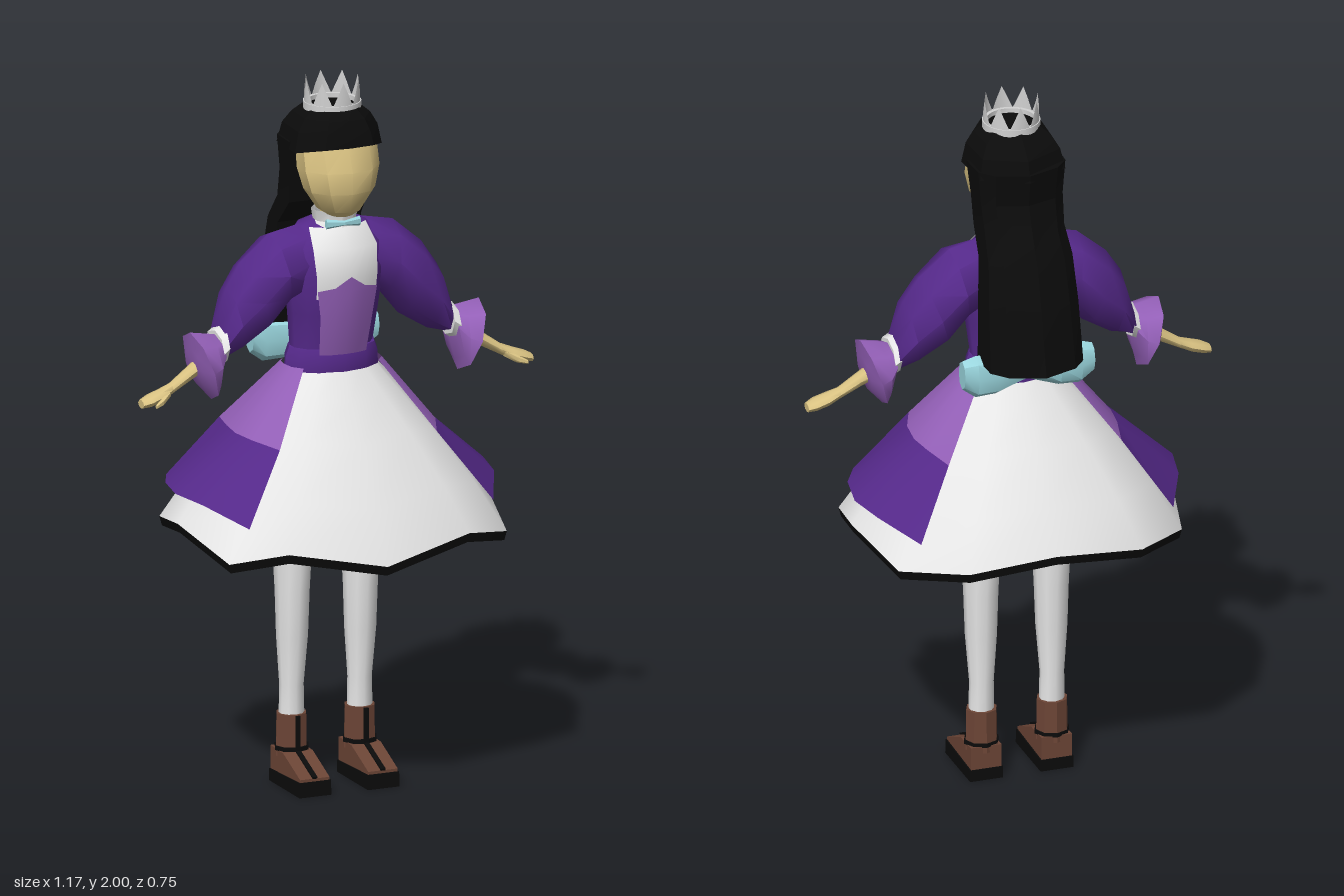
import * as THREE from 'three';
import { toCreasedNormals } from 'three/addons/utils/BufferGeometryUtils.js';

function mat(name, color, side = THREE.DoubleSide) {
  const m = new THREE.MeshStandardMaterial({ color, side });
  m.name = name;
  return m;
}

// Ellipse of points around the vertical axis, from half width and front/back depth.
function ring(y, rx, front, back, n = 10, cx = 0) {
  return Array.from({ length: n }, (_, i) => {
    const a = (i / n) * Math.PI * 2;
    return [cx + rx * Math.sin(a), y, (front + back) / 2 + ((front - back) / 2) * Math.cos(a)];
  });
}

// Ellipse of points across an arm that runs along +x; lean tips its top outwards.
function armRing(x, y, z, ry, rz, lean = 0, n = 8) {
  return Array.from({ length: n }, (_, i) => {
    const a = (i / n) * Math.PI * 2, c = Math.cos(a);
    return [x + lean * c, y + ry * c, z + rz * Math.sin(a)];
  });
}

// Skin over a list of cross-sections; side -1 mirrors it in x.
function loft(rings, { start = false, end = false, open = false, side = 1, crease = 0.7 } = {}) {
  if (side < 0) rings = rings.map(r => r.map(([x, y, z]) => [-x, y, z]).reverse());
  const n = rings[0].length, pos = rings.flat(2), idx = [];
  for (let j = 0; j < rings.length - 1; j++) {
    for (let i = 0; i < (open ? n - 1 : n); i++) {
      const a = j * n + i, b = j * n + (i + 1) % n;
      idx.push(a, b, b + n, a, b + n, a + n);
    }
  }
  const cap = (j, flip) => {
    const c = pos.length / 3;
    for (let k = 0; k < 3; k++) pos.push(rings[j].reduce((s, p) => s + p[k], 0) / n);
    for (let i = 0; i < n; i++) {
      const a = j * n + i, b = j * n + (i + 1) % n;
      idx.push(c, flip ? b : a, flip ? a : b);
    }
  };
  if (start) cap(0, true);
  if (end) cap(rings.length - 1, false);
  const g = new THREE.BufferGeometry();
  g.setAttribute('position', new THREE.Float32BufferAttribute(pos, 3));
  g.setIndex(idx);
  return toCreasedNormals(g, crease);
}

// Side outline given as [z, y] points, extruded across x.
function slab(points, width) {
  const shape = new THREE.Shape(points.map(p => new THREE.Vector2(...p)));
  const g = new THREE.ExtrudeGeometry(shape, { depth: width, bevelEnabled: false });
  return g.rotateY(-Math.PI / 2).translate(width / 2, 0, 0);
}

export function createModel() {
  const white = mat('white cloth', 0xe9e9e9), black = mat('black', 0x0b0b0b);
  const purple = mat('dark purple', 0x55298a), lilac = mat('light purple', 0x9460b8);
  const skin = mat('skin', 0xd9c282, THREE.FrontSide), brown = mat('brown leather', 0x6c4536, THREE.FrontSide);
  const blue = mat('light blue', 0x9ad6de), silver = mat('silver', 0xd2d2d2);
  const model = new THREE.Group();
  const add = (name, geo, material, x = 0, y = 0, z = 0) => {
    const m = new THREE.Mesh(geo, material);
    m.name = name;
    m.position.set(x, y, z);
    model.add(m);
  };

  // Skirt: twelve hem corners of uneven height, drawn in to the waist
  const half = [[0, 0.705, 0.372], [0.27, 0.755, 0.315], [0.415, 0.725, 0.24], [0.462, 0.785, 0],
    [0.41, 0.74, -0.238], [0.25, 0.76, -0.366], [0, 0.78, -0.375]];
  const hem = [...half, ...half.slice(1, 6).reverse().map(([x, y, z]) => [-x, y, z])];
  const waist = ring(1.2, 0.12, 0.075, -0.085, 12);
  const skirtRow = t => hem.map((h, i) => waist[i].map((w, k) => {
    const v = w + (h[k] - w) * t;
    return k === 1 ? v : v * (1 + 0.22 * t * (1 - t));
  }));
  const hemLow = hem.map(([x, y, z]) => [x * 0.985, y - 0.026, z * 0.985]);
  add('skirt', loft([1, 0.72, 0.4, 0.18, 0].map(skirtRow), { crease: 0.8 }), white);
  add('skirtHem', loft([hemLow, hem]), black);
  add('skirtUnderside', loft([hemLow.map(([x, y, z]) => [x * 0.99, y + 0.004, z * 0.99]),
    hemLow.map(([x, , z]) => [x * 0.4, 0.725, z * 0.4])].reverse(), { start: true, crease: 1 }), white);

  // Bodice
  const torso = [[1.2, 0.125, 0.068, -0.085], [1.25, 0.12, 0.07, -0.085], [1.35, 0.13, 0.1, -0.095],
    [1.46, 0.145, 0.115, -0.105], [1.54, 0.14, 0.105, -0.1], [1.59, 0.1, 0.065, -0.08], [1.61, 0.05, 0.035, -0.045]];
  add('jacketBody', loft(torso.map(r => ring(...r, 14)), { start: true, end: true, crease: 1 }), purple);
  const frontZ = (x, y) => {
    let k = 0;
    while (k < torso.length - 2 && y > torso[k + 1][0]) k++;
    const t = (y - torso[k][0]) / (torso[k + 1][0] - torso[k][0]);
    const [rx, f, b] = [1, 2, 3].map(c => torso[k][c] + (torso[k + 1][c] - torso[k][c]) * t);
    return (f + b) / 2 + ((f - b) / 2) * Math.sqrt(Math.max(0, 1 - (x / rx) ** 2));
  };
  const columns = [-1, -0.5, 0, 0.5, 1];
  const panel = (rows, lift) => loft(rows.map(([w, ys]) =>
    columns.map((c, i) => [c * w, ys[i] ?? ys[0], frontZ(c * w, ys[i] ?? ys[0]) + lift])), { open: true, crease: 1 });
  add('blouseFront', panel([[0.088, [1.4]], [0.09, [1.46]], [0.095, [1.54]], [0.085, [1.592]]], 0.01), white);
  add('bodiceFront', panel([[0.07, [1.235]], [0.078, [1.35]], [0.088, [1.42]],
    [0.089, [1.425, 1.435, 1.465, 1.435, 1.425]]], 0.016), lilac);
  add('belt', loft([ring(1.185, 0.138, 0.085, -0.1, 12), ring(1.22, 0.136, 0.088, -0.1, 12),
    ring(1.248, 0.126, 0.08, -0.092, 12)], { start: true, end: true }), purple);

  // Bow at the back of the waist
  for (const s of [1, -1]) {
    add('backBowLoop', loft([armRing(0, 1.25, -0.125, 0.04, 0.03), armRing(0.09, 1.238, -0.13, 0.058, 0.036),
      armRing(0.15, 1.24, -0.132, 0.062, 0.036), armRing(0.188, 1.248, -0.13, 0.042, 0.028)],
    { start: true, end: true, side: s }), blue);
  }

  // Neck, collar and ribbon
  add('neck', new THREE.CylinderGeometry(0.04, 0.045, 0.12, 8), skin, 0, 1.62, 0.015);
  add('collar', loft([ring(1.585, 0.075, 0.075, -0.055), ring(1.605, 0.06, 0.068, -0.04),
    ring(1.637, 0.067, 0.076, -0.04)]), white);
  for (const s of [1, -1]) {
    add('ribbonLoop', loft([armRing(0, 1.605, 0.08, 0.007, 0.006, 0, 6), armRing(0.05, 1.605, 0.072, 0.014, 0.009, 0, 6)],
      { start: true, end: true, side: s }), blue);
  }

  // Head
  add('face', loft([ring(1.625, 0.035, 0.09, 0.0), ring(1.643, 0.062, 0.115, -0.02), ring(1.7, 0.1, 0.14, -0.045),
    ring(1.76, 0.116, 0.139, -0.06), ring(1.84, 0.115, 0.105, -0.06)], { start: true, end: true, crease: 0.6 }), skin);

  // Hair
  const capRing = (y, w, f, b, sideDrop = 0) => {
    const right = [[w * 0.55, y, f], [w, y - sideDrop, f * 0.35], [w * 0.95, y - sideDrop, b * 0.6]];
    return [[0, y, f + 0.006], ...right, [0, y - sideDrop, b], ...right.reverse().map(([x, h, z]) => [-x, h, z])];
  };
  add('hairCap', loft([capRing(1.828, 0.13, 0.119, -0.158, 0.02), capRing(1.865, 0.118, 0.112, -0.14),
    capRing(1.9, 0.098, 0.098, -0.105), capRing(1.922, 0.072, 0.08, -0.08)], { start: true, end: true, crease: 0.3 }), black);
  const lock = (y, w, front, back) => [[0, y, front], [w, y, front], [w * 0.97, y, back * 0.55 + front * 0.45],
    [w * 0.7, y, back * 0.8 + front * 0.2], [0, y, back], [-w * 0.7, y, back * 0.8 + front * 0.2],
    [-w * 0.97, y, back * 0.55 + front * 0.45], [-w, y, front]];
  add('longHair', loft([lock(1.28, 0.138, -0.115, -0.29), lock(1.45, 0.133, -0.105, -0.25), lock(1.58, 0.125, -0.085, -0.218),
    lock(1.65, 0.118, -0.025, -0.18), lock(1.735, 0.122, -0.015, -0.145), lock(1.83, 0.13, 0.0, -0.158)],
  { start: true, end: true, crease: 0.4 }), black);

  // Crown: a thick flat band carrying a zigzag of eight thin points
  const round = (r, y) => ring(y, r, r, -r, 32);
  const zigzag = Array.from({ length: 32 }, (_, i) => {
    const a = (i / 32) * Math.PI * 2, rise = Math.abs((i % 4) - 2) / 2;
    return [0.077 * Math.sin(a), 1.933 + 0.067 * rise, 0.077 * Math.cos(a)];
  });
  add('crownBand', loft([round(0.067, 1.915), round(0.08, 1.915), round(0.08, 1.935),
    round(0.067, 1.935), round(0.067, 1.915)]), silver);
  add('crownPoints', loft([round(0.077, 1.93), zigzag]), silver);

  for (const s of [1, -1]) {
    const both = { start: true, end: true, side: s, crease: 0.9 };

    // Sleeve, cuff and bell
    add('sleeve', loft([armRing(0.08, 1.5, -0.005, 0.095, 0.075, 0.01), armRing(0.165, 1.475, -0.01, 0.1, 0.105, 0.02),
      armRing(0.235, 1.405, -0.01, 0.098, 0.098, 0.035), armRing(0.3, 1.345, -0.005, 0.09, 0.082, 0.015),
      armRing(0.342, 1.285, 0, 0.045, 0.06)], both), purple);
    add('cuff', loft([armRing(0.336, 1.285, 0.005, 0.052, 0.066), armRing(0.355, 1.272, 0.008, 0.052, 0.066)], both), white);
    add('bellSleeve', loft([armRing(0.348, 1.264, 0.008, 0.047, 0.066), armRing(0.37, 1.24, 0.012, 0.078, 0.088, 0.008),
      armRing(0.4, 1.23, 0.015, 0.098, 0.098, 0.032), armRing(0.42, 1.23, 0.015, 0.05, 0.055, 0.008)], both), lilac);

    // Forearm and hand
    add('hand', loft([armRing(0.39, 1.24, 0.01, 0.026, 0.026), armRing(0.435, 1.213, 0.015, 0.021, 0.022),
      armRing(0.492, 1.178, 0.02, 0.016, 0.018), armRing(0.525, 1.163, 0.024, 0.018, 0.026),
      armRing(0.56, 1.152, 0.026, 0.017, 0.028), armRing(0.583, 1.145, 0.026, 0.012, 0.02)], both), skin);
    add('thumb', loft([armRing(0.5, 1.168, 0.03, 0.011, 0.012, 0, 6), armRing(0.53, 1.152, 0.052, 0.011, 0.011, 0, 6),
      armRing(0.555, 1.144, 0.066, 0.006, 0.006, 0, 6)], both), skin);

    // Two-tone side panel lying over the skirt
    const rows = [
      [[0.365, 0.825, 0.262], [0.435, 0.862, 0.11], [0.46, 0.865, -0.02], [0.435, 0.862, -0.14], [0.365, 0.838, -0.295]],
      [[0.235, 1.012, 0.175], [0.275, 1.02, 0.075], [0.285, 1.02, -0.01], [0.275, 1.02, -0.09], [0.25, 1.015, -0.195]],
      [[0.112, 1.2, 0.06], [0.135, 1.2, 0.03], [0.14, 1.2, -0.01], [0.135, 1.2, -0.04], [0.115, 1.2, -0.07]]];
    add('sidePanelLower', loft(rows.slice(0, 2), { open: true, side: s }), purple);
    add('sidePanelUpper', loft(rows.slice(1), { open: true, side: s }), lilac);

    // Stockinged leg
    const x = 0.102 * s;
    add('leg', loft([ring(0.18, 0.036, -0.01, -0.077, 10, x), ring(0.28, 0.034, -0.012, -0.076, 10, x),
      ring(0.42, 0.044, 0.005, -0.085, 10, x), ring(0.55, 0.048, 0.012, -0.09, 10, x),
      ring(0.735, 0.058, 0.022, -0.1, 10, x)], { start: true, end: true, crease: 1 }), white);

    // Ankle boot with sole, strap and lacing
    add('bootShaft', loft([ring(0.08, 0.046, 0, -0.089, 8, x), ring(0.2, 0.044, -0.002, -0.087, 8, x)],
      { start: true, end: true }), brown);
    add('bootFoot', slab([[-0.085, 0.03], [0.112, 0.03], [0.112, 0.05], [0.06, 0.072], [0, 0.097], [-0.085, 0.1]], 0.088), brown, x);
    add('bootSole', slab([[-0.087, 0], [0.117, 0], [0.114, 0.042], [-0.087, 0.034]], 0.095), black, x);
    add('bootStrap', loft([ring(0.097, 0.05, 0.004, -0.09, 8, x), ring(0.109, 0.05, 0.004, -0.09, 8, x)],
      { start: true, end: true }), black);
    add('bootLacing', new THREE.BoxGeometry(0.012, 0.1, 0.008), black, x, 0.148, 0);
    add('bootInstep', slab([[0, 0.096], [0.06, 0.071], [0.112, 0.049], [0.114, 0.055], [0.06, 0.077], [0, 0.102]], 0.014), black, x);
  }
  return model;
}
